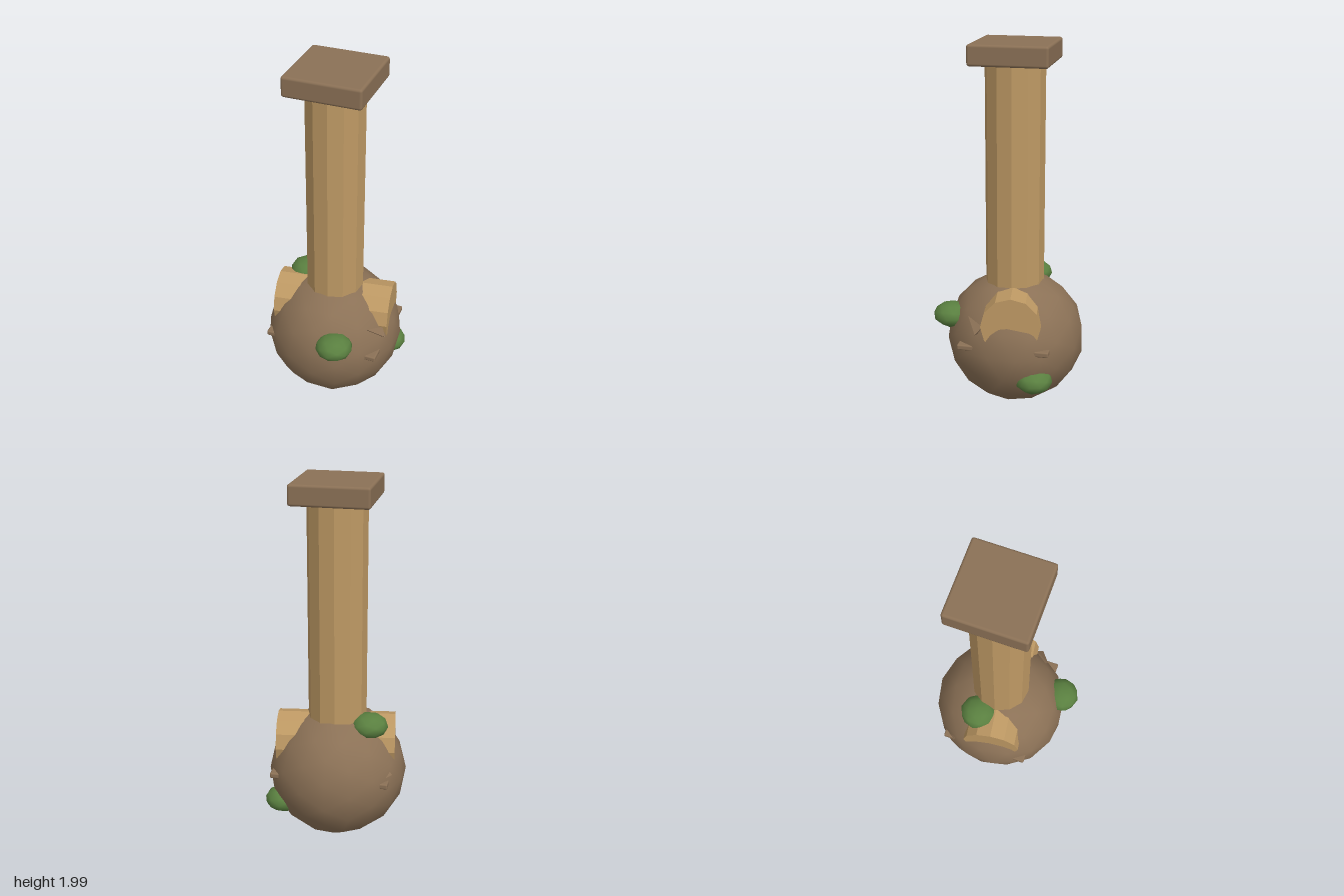
import * as THREE from 'three';
import { mergeVertices } from 'three/addons/utils/BufferGeometryUtils.js';
import { RoundedBoxGeometry } from 'three/addons/geometries/RoundedBoxGeometry.js';
import { ConvexGeometry } from 'three/addons/geometries/ConvexGeometry.js';

const mat = (name, color, flatShading = false) => {
  const m = new THREE.MeshStandardMaterial({ color, flatShading });
  m.name = name;
  return m;
};

// Smooth low-poly ball with a gentle uneven surface
function lump(radius, detail, wobble, seed) {
  let g = new THREE.IcosahedronGeometry(radius, detail);
  g.deleteAttribute('uv');
  g.deleteAttribute('normal');
  g = mergeVertices(g, 1e-4);
  const p = g.attributes.position;
  const v = new THREE.Vector3();
  for (let i = 0; i < p.count; i++) {
    v.fromBufferAttribute(p, i);
    const n = v.clone().divideScalar(radius);
    const k = Math.sin(n.x * 5 + seed) * Math.sin(n.y * 4 + seed * 2) * Math.cos(n.z * 5 - seed);
    v.multiplyScalar(1 + wobble * k);
    p.setXYZ(i, v.x, v.y, v.z);
  }
  g.computeVertexNormals();
  return g;
}

export function createModel() {
  const group = new THREE.Group();
  const bark = mat('bark brown', 0x8b7156);
  const wood = mat('light wood', 0xbe9964, true);
  const moss = mat('moss green', 0x5a8040);

  const add = (name, geometry, material, x, y, z) => {
    const mesh = new THREE.Mesh(geometry, material);
    mesh.name = name;
    mesh.position.set(x, y, z);
    group.add(mesh);
    return mesh;
  };

  // Round head
  add('head', lump(0.379, 2, 0.012, 1), bark, 0, 0.372, -0.031).scale.y = 0.975;

  // Upright handle with square end cap
  add('handle', new THREE.CylinderGeometry(0.16, 0.16, 1.5, 12), wood, 0.003, 1.16, -0.027).rotation.y = 0.1;
  add('endCap', new RoundedBoxGeometry(0.42, 0.11, 0.42, 2, 0.014), bark, 0.005, 1.945, -0.029);

  // Log passing sideways through the head
  const log = add('crossLog', new THREE.CylinderGeometry(0.16, 0.16, 0.647, 12), wood, 0.007, 0.545, -0.027);
  log.rotation.set(0, 0.14, Math.PI / 2);

  // Thin board whose corners poke out of the head
  add('board', new RoundedBoxGeometry(0.65, 0.03, 0.497, 2, 0.008), bark, 0.006, 0.405, -0.027);

  // Small splinters at the sides
  const splinter = (name, corners) =>
    add(name, new ConvexGeometry(corners.map((c) => new THREE.Vector3(...c))), bark, 0, 0, 0);
  splinter('leftSplinter', [[0.352, 0.495, 0.115], [0.265, 0.565, 0.172], [0.325, 0.535, 0.08], [0.24, 0.47, 0.09]]);
  splinter('rightSplinter', [[-0.335, 0.45, -0.21], [-0.3, 0.475, -0.19], [-0.3, 0.435, -0.235], [-0.27, 0.43, -0.17]]);

  // Flattened moss clumps
  const clumps = [
    [0.122, 0.507, 0.303],
    [0.277, 0.229, -0.19],
    [-0.189, 0.677, -0.097],
  ];
  clumps.forEach(([x, y, z], i) => {
    add('mossClump' + (i + 1), lump(0.101, 1, 0.03, i + 2), moss, x, y, z).scale.y = 0.67;
  });

  return group;
}
